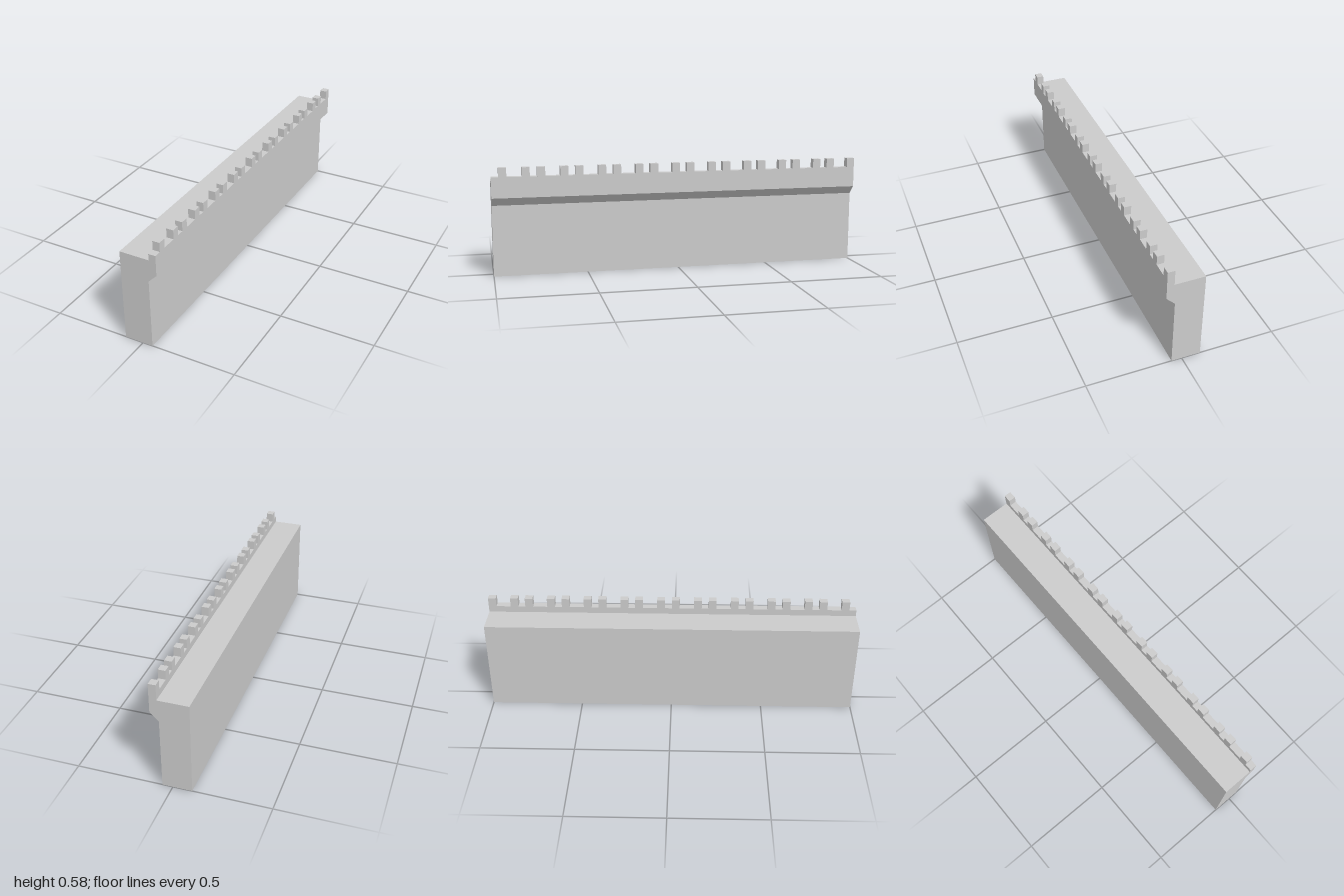
import * as THREE from 'three';

export function createModel() {
  const group = new THREE.Group();
  const material = new THREE.MeshStandardMaterial({ color: 0xcccccc, flatShading: true });

  const length = 2;
  const outerX = 0.099, innerX = 0.061;      // parapet faces
  const sillY = 0.535, topY = 0.584;         // gap floor and merlon top

  // Wall body with walkway, overhanging corbel and low parapet, as one profile
  const profile = new THREE.Shape([
    [-0.099, 0], [0.054, 0], [0.054, 0.38], [outerX, 0.425],
    [outerX, sillY], [innerX, sillY], [innerX, 0.5], [-0.099, 0.5],
  ].map(([x, y]) => new THREE.Vector2(x, y)));
  const wallGeometry = new THREE.ExtrudeGeometry(profile, { depth: length, bevelEnabled: false });
  wallGeometry.translate(0, 0, -length / 2);
  const wall = new THREE.Mesh(wallGeometry, material);
  wall.name = 'wall';
  group.add(wall);

  // Merlons in pairs, repeated every 0.2 along the parapet
  const merlons = new THREE.Group();
  merlons.name = 'merlons';
  const merlonLength = 0.042;
  const merlonGeometry = new THREE.BoxGeometry(outerX - innerX, topY - sillY, merlonLength);
  for (let i = 0; i < 10; i++) {
    for (const start of [0.92, 0.8]) {
      const merlon = new THREE.Mesh(merlonGeometry, material);
      merlon.name = 'merlon';
      merlon.position.set((outerX + innerX) / 2, (sillY + topY) / 2, start - 0.2 * i + merlonLength / 2);
      merlons.add(merlon);
    }
  }
  group.add(merlons);

  return group;
}
